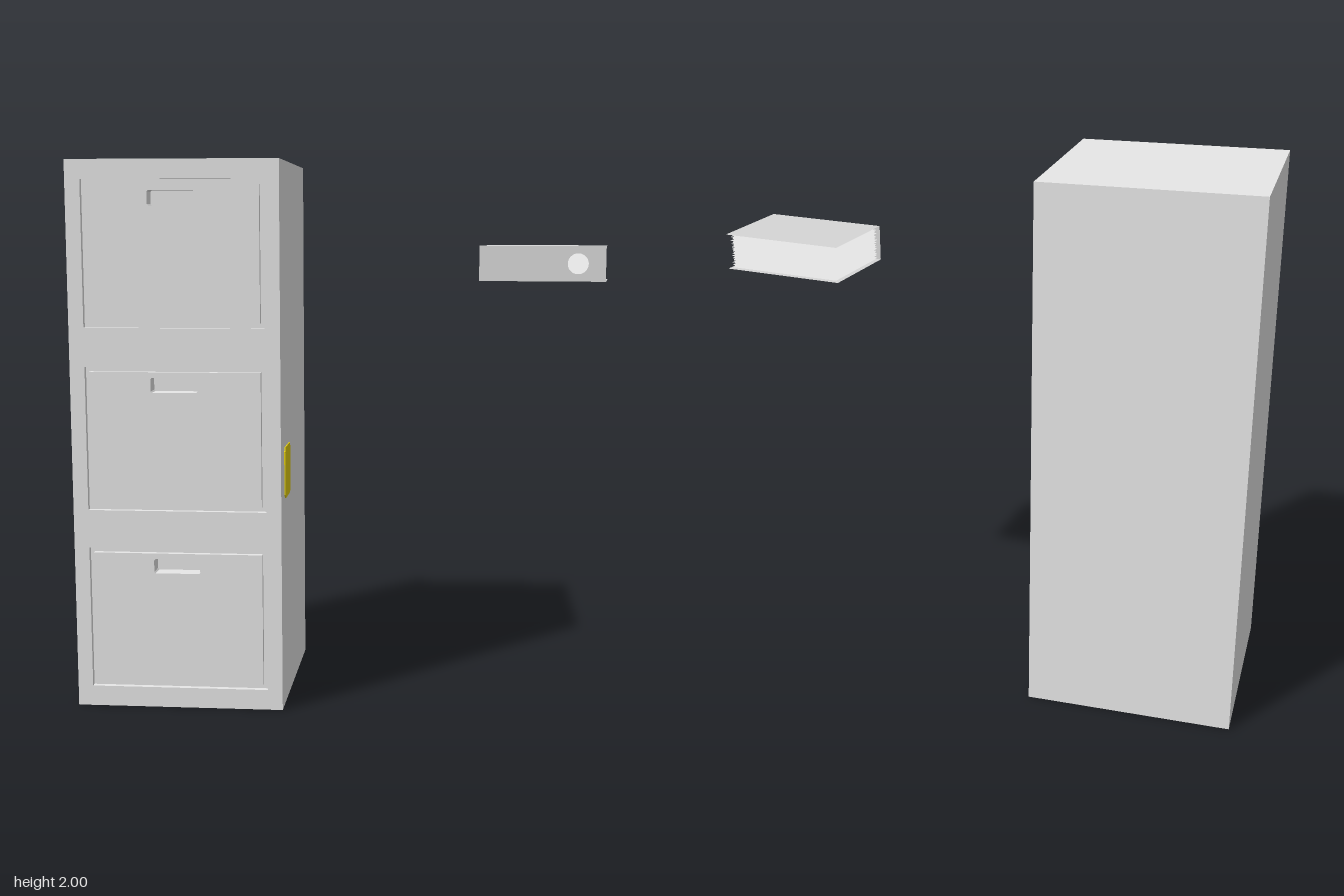
import * as THREE from 'three';

const mat = (name, color, side = THREE.FrontSide) => {
  const m = new THREE.MeshStandardMaterial({ color, side });
  m.name = name;
  return m;
};

// Rectangle outline with optionally cut corners
function outline(Type, x0, y0, x1, y1, c = 0) {
  const pts = c
    ? [[x0 + c, y0], [x1 - c, y0], [x1, y0 + c], [x1, y1 - c], [x1 - c, y1], [x0 + c, y1], [x0, y1 - c], [x0, y0 + c]]
    : [[x0, y0], [x1, y0], [x1, y1], [x0, y1]];
  return new Type(pts.map(([x, y]) => new THREE.Vector2(x, y)));
}

function add(parent, name, geometry, material, x = 0, y = 0, z = 0) {
  const mesh = new THREE.Mesh(geometry, material);
  mesh.name = name;
  mesh.position.set(x, y, z);
  parent.add(mesh);
  return mesh;
}

const plate = (shape, depth) => new THREE.ExtrudeGeometry(shape, { depth, bevelEnabled: false, curveSegments: 24 });

export function createModel() {
  const model = new THREE.Group();
  model.name = 'filingCabinetAndBinder';
  const cabinetPaint = mat('cabinet white', 0xf0f0f0);
  const noteYellow = mat('note yellow', 0xf0da14);
  const binderGrey = mat('binder grey', 0xd6d6d6, THREE.DoubleSide);
  const paper = mat('paper white', 0xf0f0f0, THREE.DoubleSide);

  // Cabinet: solid body, a layer with handle pockets, then the face frame
  const L = -0.985, R = -0.22, back = -0.37, front = 0.37;
  const groove = 0.02, pocket = 0.06;
  const cabinet = new THREE.Group();
  cabinet.name = 'cabinet';
  model.add(cabinet);
  const bodyDepth = front - pocket - back;
  add(cabinet, 'cabinetBody', new THREE.BoxGeometry(R - L, 2, bodyDepth), cabinetPaint, (L + R) / 2, 1, back + bodyDepth / 2);

  const pocketLayer = outline(THREE.Shape, L, 0, R, 2);
  const faceFrame = outline(THREE.Shape, L, 0, R, 2);
  const handleHole = (y) => outline(THREE.Path, -0.69, y + 0.433, -0.52, y + 0.486, 0.005);

  // Three drawers, each set in a narrow groove
  for (const y of [0.075, 0.74, 1.405]) {
    pocketLayer.holes.push(handleHole(y));
    faceFrame.holes.push(outline(THREE.Path, -0.93, y, -0.275, y + 0.525));
    const drawer = outline(THREE.Shape, -0.914, y + 0.018, -0.291, y + 0.507);
    drawer.holes.push(handleHole(y));
    add(cabinet, 'drawerFront', plate(drawer, groove), cabinetPaint, 0, 0, front - groove);
  }
  add(cabinet, 'handlePockets', plate(pocketLayer, pocket - groove), cabinetPaint, 0, 0, front - pocket);
  add(cabinet, 'faceFrame', plate(faceFrame, groove), cabinetPaint, 0, 0, front - groove);

  // Sticky note on the side
  const note = add(model, 'stickyNote', plate(outline(THREE.Shape, -0.075, -0.095, 0.075, 0.095, 0.015), 0.004),
    noteYellow, R, 0.87, 0.205);
  note.rotation.y = Math.PI / 2;

  // Binder: two thin covers and a spine with a finger hole
  const binder = new THREE.Group();
  binder.name = 'binder';
  binder.position.set(0.735, 1.63, -0.09);
  binder.rotation.y = -0.125;
  model.add(binder);
  const W = 0.464, D = 0.33, H = 0.13;
  for (const s of [-1, 1]) {
    const cover = add(binder, s > 0 ? 'topCover' : 'bottomCover', new THREE.PlaneGeometry(W, D), binderGrey, 0, s * H / 2, 0);
    cover.rotation.x = -Math.PI / 2;
  }
  const spine = outline(THREE.Shape, -W / 2, -H / 2, W / 2, H / 2);
  spine.holes.push(new THREE.Path().absarc(0.131, 0, 0.038, 0, Math.PI * 2, true));
  add(binder, 'spine', new THREE.ShapeGeometry(spine, 24), binderGrey, 0, 0, D / 2);

  // Loose sheets stacked between the covers, slightly uneven
  const sheets = 40;
  const sheetGeometry = new THREE.PlaneGeometry(W - 0.03, D - 0.02);
  for (let i = 0; i < sheets; i++) {
    const y = -H / 2 + 0.003 + (H - 0.006) * i / (sheets - 1);
    const sheet = add(binder, 'sheet', sheetGeometry, paper, 0.004 * Math.sin(i * 2.4), y, 0.004 + 0.004 * Math.sin(i * 1.7));
    sheet.rotation.x = -Math.PI / 2;
  }
  return model;
}
